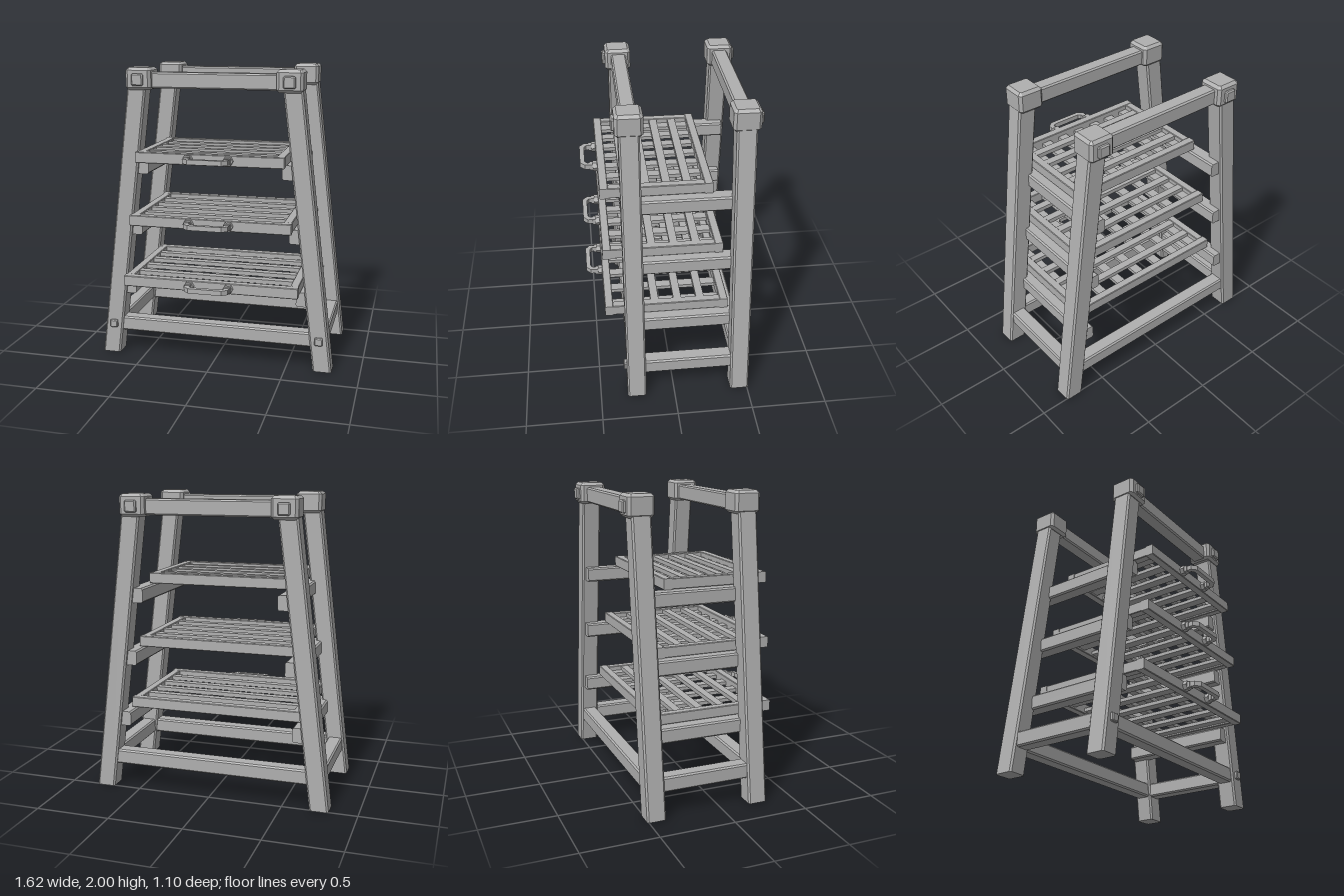
import * as THREE from 'three';

const gray = new THREE.MeshStandardMaterial({ color: 0xb0b0b0 });
gray.name = 'plain gray';
gray.flatShading = true;

// Rectangle outline with cut corners
function cutRect(w, h, c) {
  const a = w / 2, b = h / 2;
  return new THREE.Shape([
    [-a + c, -b], [a - c, -b], [a, -b + c], [a, b - c],
    [a - c, b], [-a + c, b], [-a, b - c], [-a, -b + c],
  ].map(([x, y]) => new THREE.Vector2(x, y)));
}

// Bar with chamfered long edges, running along z, centred
function bar(w, h, len, c = 0.01) {
  return new THREE.ExtrudeGeometry(cutRect(w, h, c), { depth: len, bevelEnabled: false })
    .translate(0, 0, -len / 2);
}

// Block chamfered on its end faces as well, depth along z, centred
function block(w, h, d, c) {
  return new THREE.ExtrudeGeometry(cutRect(w - 2 * c, h - 2 * c, c * 0.4), {
    depth: d - 2 * c, bevelEnabled: true, bevelSegments: 1, bevelSize: c, bevelThickness: c,
  }).translate(0, 0, -d / 2 + c);
}

function add(parent, name, geometry, x = 0, y = 0, z = 0) {
  const mesh = new THREE.Mesh(geometry, gray);
  mesh.name = name;
  mesh.position.set(x, y, z);
  parent.add(mesh);
  return mesh;
}

const SLOPE = 0.1226;
const legX = (y) => 0.748 - SLOPE * y;

// Leg leaning inwards by shear, so both ends stay level
function legGeometry(side) {
  const h = 1.9;
  const g = bar(0.126, 0.127, h, 0.011).rotateX(-Math.PI / 2).translate(0, h / 2, 0);
  const p = g.attributes.position;
  for (let i = 0; i < p.count; i++) p.setX(i, p.getX(i) + side * legX(p.getY(i)));
  g.computeVertexNormals();
  return g;
}

// End frame: two legs, top rail, bottom stretcher, caps and pegs
function endFrame(name, z, dir) {
  const frame = new THREE.Group();
  frame.name = name;
  for (const s of [-1, 1]) {
    add(frame, 'leg', legGeometry(s), 0, 0, z);
    add(frame, 'cap', block(0.172, 0.172, 0.146, 0.018).rotateX(-Math.PI / 2), s * 0.5, 1.927, z);
    add(frame, 'capPeg', block(0.078, 0.078, 0.05, 0.008), s * 0.5, 1.922, z + dir * 0.081);
    if (dir > 0) add(frame, 'legPeg', block(0.054, 0.054, 0.04, 0.006), s * 0.722, 0.217, z + 0.063);
  }
  add(frame, 'topRail', bar(0.1, 0.105, 0.9).rotateY(Math.PI / 2), 0, 1.917, z - dir * 0.005);
  add(frame, 'bottomStretcher', bar(0.1, 0.1, 1.36).rotateY(Math.PI / 2), 0, 0.215, z);
  return frame;
}

// U-shaped pull handle with two hexagonal mounts
function handle() {
  const group = new THREE.Group();
  group.name = 'handle';
  const u = [
    [-0.148, 0], [-0.118, 0], [-0.118, 0.062], [-0.1, 0.077], [0.1, 0.077], [0.118, 0.062],
    [0.118, 0], [0.148, 0], [0.148, 0.078], [0.112, 0.108], [-0.112, 0.108], [-0.148, 0.078],
  ].map(([x, y]) => new THREE.Vector2(x, y));
  const grip = new THREE.ExtrudeGeometry(new THREE.Shape(u), { depth: 0.032, bevelEnabled: false })
    .translate(0, 0, -0.016).rotateX(Math.PI / 2);
  add(group, 'grip', grip);
  for (const s of [-1, 1]) {
    add(group, 'mount', new THREE.CylinderGeometry(0.034, 0.034, 0.028, 6).rotateX(Math.PI / 2).rotateZ(Math.PI / 2),
      s * 0.133, 0, 0.013);
    add(group, 'collar', new THREE.BoxGeometry(0.042, 0.04, 0.02), s * 0.133, 0, 0.036);
  }
  return group;
}

// Slatted shelf with its back edge at zBack and its front edge fixed
function shelf(halfW, top, zBack) {
  const group = new THREE.Group();
  group.name = 'shelf';
  const h = 0.072, rim = 0.055, zFront = 0.442;
  const y = top - h / 2, zMid = (zFront + zBack) / 2, depth = zFront - zBack;
  const inX = halfW - rim, inZ = depth / 2 - rim;
  for (const s of [-1, 1]) {
    add(group, 'rimBar', bar(rim, h, halfW * 2, 0.004).rotateY(Math.PI / 2), 0, y, zMid + s * (depth - rim) / 2);
    add(group, 'rimSide', bar(rim, h - 0.002, inZ * 2, 0.004), s * (halfW - rim / 2 - 0.002), y, zMid);
  }
  // Four long slats, resting on seven cross slats
  const gap = (2 * inZ - 4 * 0.053) / 5;
  for (let i = 0; i < 4; i++) {
    const z = zMid - inZ + gap + 0.0265 + i * (gap + 0.053);
    add(group, 'longSlat', new THREE.BoxGeometry(inX * 2 + 0.02, 0.028, 0.053), 0, top - 0.02, z);
  }
  for (let i = -3; i <= 3; i++) {
    add(group, 'crossSlat', new THREE.BoxGeometry(0.066, 0.024, inZ * 2 + 0.02), i * (inX - 0.035) / 3, top - 0.046, zMid);
  }
  const pull = handle();
  pull.position.set(0, y + 0.002, zFront);
  group.add(pull);
  return group;
}

export function createModel() {
  const model = new THREE.Group();
  model.name = 'shelfStand';
  model.add(endFrame('frontFrame', 0.255, 1), endFrame('backFrame', -0.447, -1));

  // Low side stretchers
  for (const s of [-1, 1]) add(model, 'sideStretcher', bar(0.1, 0.1, 0.66), s * 0.72, 0.215, -0.096);

  // Shelves and the rails that carry them
  const tiers = [
    { halfW: 0.593, top: 0.614, zBack: -0.38, railX: 0.61, railY: 0.49 },
    { halfW: 0.542, top: 1.038, zBack: -0.342, railX: 0.557, railY: 0.917 },
    { halfW: 0.491, top: 1.464, zBack: -0.272, railX: 0.504, railY: 1.341 },
  ];
  for (const t of tiers) {
    model.add(shelf(t.halfW, t.top, t.zBack));
    for (const s of [-1, 1]) add(model, 'shelfRail', bar(0.1, 0.098, 0.78), s * t.railX, t.railY, -0.096);
  }
  return model;
}
